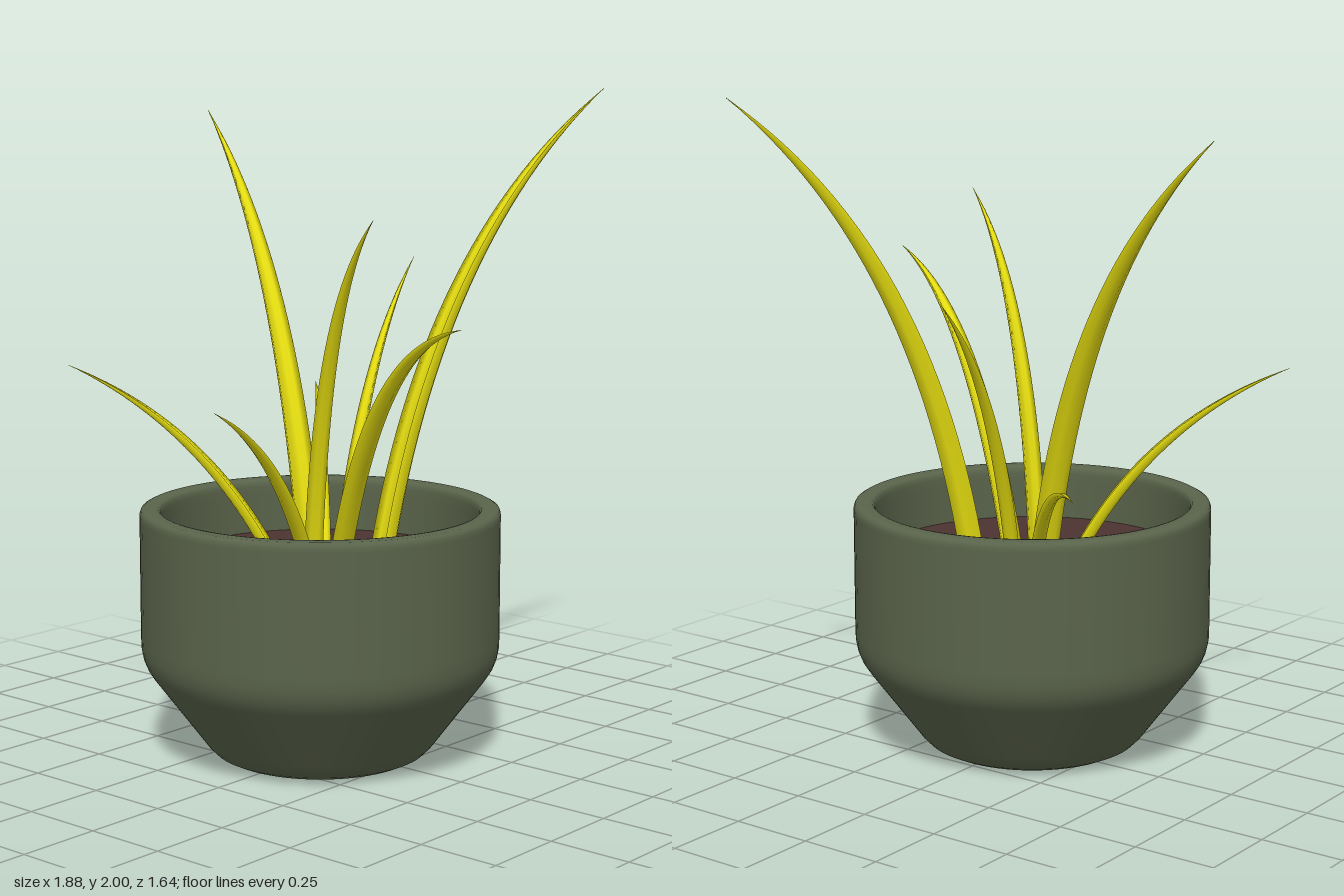
import * as THREE from 'three';

const POT_X = -0.005, POT_Z = 0.045, SOIL_Y = 0.6;

// Channelled blade section: [across, towards the upper side], in half widths
const SECTION = [
  [-0.95, 0.75], [-0.5, 0.4], [0, 0.15], [0.5, 0.4],
  [0.95, 0.75], [0.7, -0.3], [0, -0.8], [-0.7, -0.3],
];

// base [x, z], tip [x, y, z], bend [share of the reach, height], half width
const LEAVES = [
  { base: [-0.08, 0.015], tip: [-0.94, 1.92, -0.46], bend: [0.21, 1.48], w: 0.041 },
  { base: [0.13, -0.09], tip: [0.4, 2.0, -0.82], bend: [0.215, 1.55], w: 0.04 },
  { base: [0.03, 0.11], tip: [0.46, 1.66, 0.36], bend: [0.16, 1.39], w: 0.029 },
  { base: [0.065, 0.03], tip: [0.94, 1.42, 0.59], bend: [0.33, 1.3], w: 0.033 },
  { base: [-0.03, -0.09], tip: [-0.2, 1.46, -0.64], bend: [0.28, 1.18], w: 0.023 },
  { base: [-0.15, -0.14], tip: [-0.7, 1.0, -0.73], bend: [0.34, 0.97], w: 0.022 },
  { base: [-0.11, 0.13], tip: [-0.65, 1.18, 0.46], bend: [0.34, 1.01], w: 0.023 },
  { base: [0.05, 0.16], tip: [0.3, 1.17, 0.82], bend: [0.35, 1.0], w: 0.023 },
];

// Sweeps the section along an arching curve, tapering to a point
function leafGeometry({ base, tip, bend, w }) {
  const start = new THREE.Vector3(base[0], SOIL_Y - 0.01, base[1]);
  const end = new THREE.Vector3(...tip);
  const control = start.clone().lerp(end, bend[0]).setY(bend[1]);
  const curve = new THREE.QuadraticBezierCurve3(start, control, end);
  const side = new THREE.Vector3(end.x - start.x, 0, end.z - start.z)
    .normalize().cross(new THREE.Vector3(0, 1, 0));
  const steps = 28, n = SECTION.length;
  const positions = [], index = [];
  for (let i = 0; i <= steps; i++) {
    const t = i / steps;
    const p = curve.getPoint(t);
    const up = side.clone().cross(curve.getTangent(t));
    const size = w * Math.max(0.02, 1 - Math.pow(t, 1.9));
    for (const [s, u] of SECTION) {
      const v = p.clone().addScaledVector(side, s * size).addScaledVector(up, u * size);
      positions.push(v.x, v.y, v.z);
    }
  }
  for (let i = 0; i < steps; i++) {
    for (let j = 0; j < n; j++) {
      const a = i * n + j, b = i * n + (j + 1) % n;
      index.push(a, b, b + n, a, b + n, a + n);
    }
  }
  const geometry = new THREE.BufferGeometry();
  geometry.setAttribute('position', new THREE.Float32BufferAttribute(positions, 3));
  geometry.setIndex(index);
  geometry.computeVertexNormals();
  return geometry;
}

export function createModel() {
  const model = new THREE.Group();
  const potMaterial = new THREE.MeshStandardMaterial({ color: 0x5a644b });
  const soilMaterial = new THREE.MeshStandardMaterial({ color: 0x4d3331 });
  const leafMaterial = new THREE.MeshStandardMaterial({ color: 0xe4dc10, side: THREE.DoubleSide });

  // Pot: tapered foot, rounded shoulder, straight wall and a thick rim
  const profile = [
    [0, 0.005], [0.22, 0.005], [0.26, 0.006], [0.295, 0.012], [0.322, 0.025], [0.345, 0.048],
    [0.36, 0.068], [0.505, 0.262], [0.522, 0.288], [0.533, 0.315], [0.539, 0.345], [0.54, 0.38],
    [0.54, 0.74], [0.54, 0.752], [0.536, 0.763], [0.527, 0.768], [0.515, 0.768],
    [0.495, 0.768], [0.483, 0.766], [0.477, 0.758], [0.475, 0.745], [0.475, 0.72],
    [0.475, SOIL_Y - 0.03],
  ].map(([r, y]) => new THREE.Vector2(r, y));
  const pot = new THREE.Mesh(new THREE.LatheGeometry(profile, 72), potMaterial);
  pot.name = 'pot';
  pot.position.set(POT_X, 0, POT_Z);
  model.add(pot);

  // Soil
  const soil = new THREE.Mesh(new THREE.CircleGeometry(0.477, 72), soilMaterial);
  soil.name = 'soil';
  soil.rotation.x = -Math.PI / 2;
  soil.position.set(POT_X, SOIL_Y, POT_Z);
  model.add(soil);

  // Leaves
  const leaves = new THREE.Group();
  leaves.name = 'leaves';
  LEAVES.forEach((spec, i) => {
    const leaf = new THREE.Mesh(leafGeometry(spec), leafMaterial);
    leaf.name = `leaf${i + 1}`;
    leaves.add(leaf);
  });
  model.add(leaves);
  return model;
}
